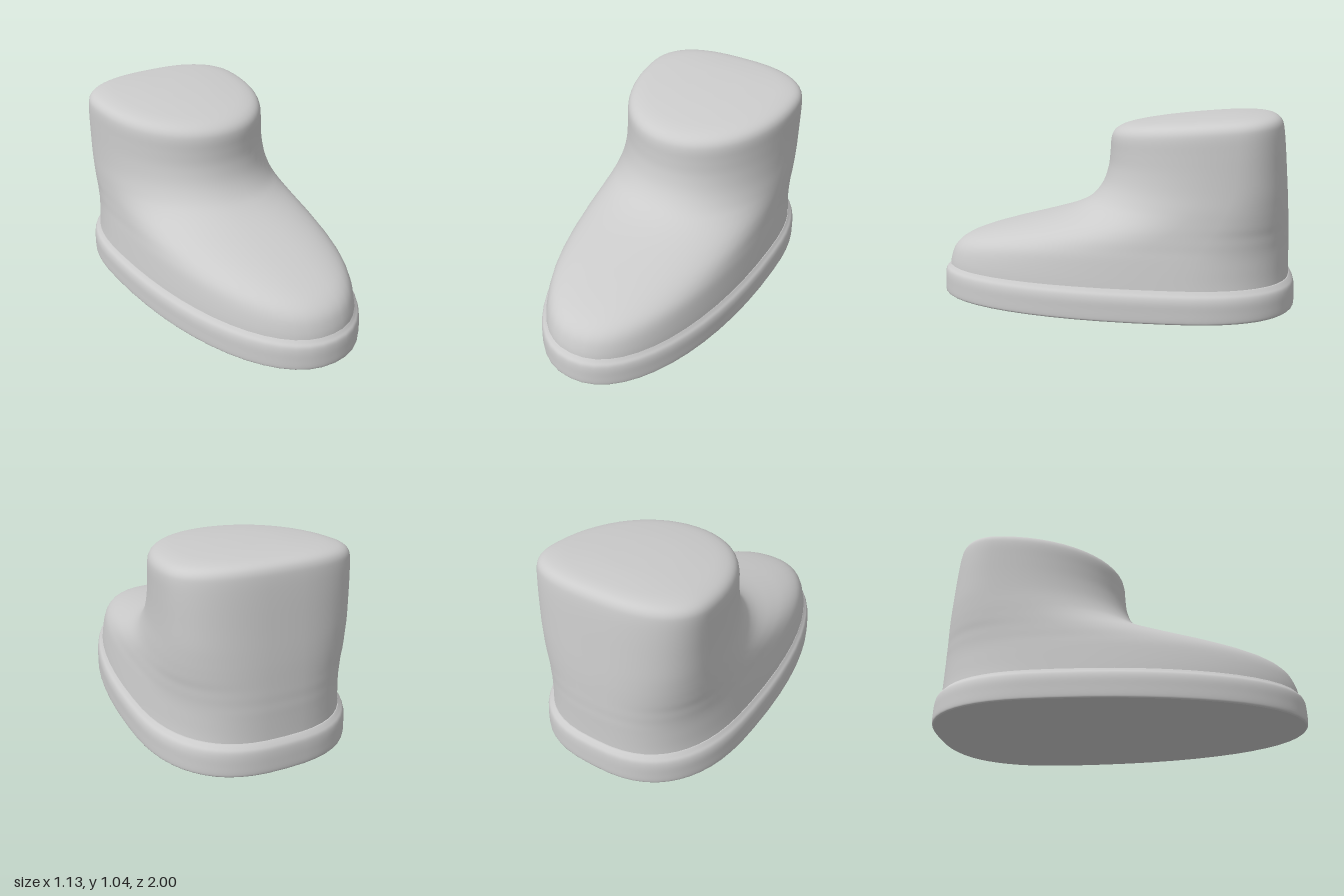
import * as THREE from 'three';

const SIDES = 56;
const grey = new THREE.MeshStandardMaterial({ color: 0xcccccc });

// Point on an egg-shaped outline: widest at zc, reaching zf in front and zb behind
function outlinePoint(ring, j) {
  const a = (j / SIDES) * Math.PI * 2;
  const c = Math.cos(a), s = Math.sin(a);
  const n = s > 0 ? ring.nf : 2.6;
  const bend = v => Math.sign(v) * Math.pow(Math.abs(v), 2 / n);
  const reach = s > 0 ? ring.zf - ring.zc : ring.zc - ring.zb;
  return [ring.w * bend(c), ring.zc + reach * bend(s)];
}

// Smoothly resample rows of [y, zFront, zBack, halfWidth, zWidest, frontExponent]
function smoothRings(rows, count) {
  const spline = k => new THREE.CatmullRomCurve3(
    rows.map(r => new THREE.Vector3(r[k], r[k + 1], r[k + 2])), false, 'catmullrom', 0.5);
  const first = spline(0), second = spline(3);
  return Array.from({ length: count + 1 }, (_, i) => {
    const p = first.getPoint(i / count), q = second.getPoint(i / count);
    return { y: p.x, zf: p.y, zb: p.z, w: q.x, zc: q.y, nf: q.z };
  });
}

// Skin stacked outlines; lift(y, z) bends the rings out of the horizontal
function loft(rings, lift = y => y) {
  const pos = [], index = [];
  for (const ring of rings) {
    for (let j = 0; j < SIDES; j++) {
      const [x, z] = outlinePoint(ring, j);
      pos.push(x, lift(ring.y, z), z);
    }
  }
  for (let i = 0; i < rings.length - 1; i++) {
    for (let j = 0; j < SIDES; j++) {
      const a = i * SIDES + j, b = i * SIDES + (j + 1) % SIDES;
      index.push(a, a + SIDES, b, b, a + SIDES, b + SIDES);
    }
  }
  // close the top with a fan
  const last = rings[rings.length - 1], zMid = (last.zf + last.zb) / 2;
  const centre = pos.length / 3, start = centre - SIDES;
  pos.push(0, lift(last.y, zMid), zMid);
  for (let j = 0; j < SIDES; j++) index.push(start + j, centre, start + (j + 1) % SIDES);

  const g = new THREE.BufferGeometry();
  g.setAttribute('position', new THREE.Float32BufferAttribute(pos, 3));
  g.setIndex(index);
  g.computeVertexNormals();
  return g;
}

function addPart(group, name, geometry) {
  const mesh = new THREE.Mesh(geometry, grey);
  mesh.name = name;
  group.add(mesh);
}

export function createModel() {
  const group = new THREE.Group();
  group.name = 'boot';

  // Sole: upright band with a rounded upper lip
  const soleRings = smoothRings([
    [0, 0.99, -0.99, 0.56, -0.3, 2.15],
    [0.012, 1.0, -1.0, 0.566, -0.3, 2.15],
    [0.06, 1.0, -1.0, 0.566, -0.3, 2.15],
    [0.105, 0.998, -0.998, 0.565, -0.3, 2.15],
    [0.135, 0.992, -0.993, 0.557, -0.3, 2.15],
    [0.152, 0.978, -0.982, 0.543, -0.3, 2.15],
    [0.168, 0.965, -0.967, 0.531, -0.3, 2.15],
  ], 24);
  addPart(group, 'sole', loft(soleRings));

  // Flat underside, facing down
  const under = new THREE.Shape(Array.from({ length: SIDES }, (_, j) => {
    const [x, z] = outlinePoint(soleRings[0], j);
    return new THREE.Vector2(x, z);
  }));
  addPart(group, 'soleUnderside', new THREE.ShapeGeometry(under).rotateX(Math.PI / 2));

  // Upper: toe, instep, shaft and rounded closed top
  const upperRings = smoothRings([
    [0.13, 0.972, -0.968, 0.535, -0.3, 2.15],
    [0.2, 0.96, -0.965, 0.527, -0.3, 2.17],
    [0.27, 0.93, -0.963, 0.519, -0.32, 2.2],
    [0.32, 0.87, -0.962, 0.513, -0.34, 2.25],
    [0.36, 0.77, -0.96, 0.508, -0.37, 2.3],
    [0.4, 0.63, -0.959, 0.505, -0.4, 2.3],
    [0.44, 0.47, -0.957, 0.502, -0.43, 2.25],
    [0.48, 0.32, -0.955, 0.5, -0.47, 2.2],
    [0.52, 0.21, -0.953, 0.498, -0.5, 2.15],
    [0.57, 0.13, -0.95, 0.496, -0.53, 2.1],
    [0.65, 0.07, -0.944, 0.492, -0.57, 2.08],
    [0.75, 0.04, -0.935, 0.49, -0.59, 2.06],
    [0.85, 0.03, -0.925, 0.49, -0.6, 2.06],
    [0.93, 0.025, -0.915, 0.489, -0.6, 2.06],
    [0.97, 0.012, -0.905, 0.48, -0.6, 2.06],
    [0.995, -0.018, -0.885, 0.455, -0.59, 2.06],
    [1.01, -0.065, -0.85, 0.41, -0.57, 2.06],
    [1.02, -0.14, -0.79, 0.34, -0.55, 2.06],
    [1.03, -0.28, -0.68, 0.2, -0.5, 2.06],
    [1.034, -0.42, -0.54, 0.06, -0.48, 2.06],
  ], 76);
  // the top slopes down gently towards the front
  const slope = (y, z) => y - 0.08 * (z + 0.5) * THREE.MathUtils.smoothstep(y, 0.65, 0.95);
  addPart(group, 'upper', loft(upperRings, slope));

  return group;
}
